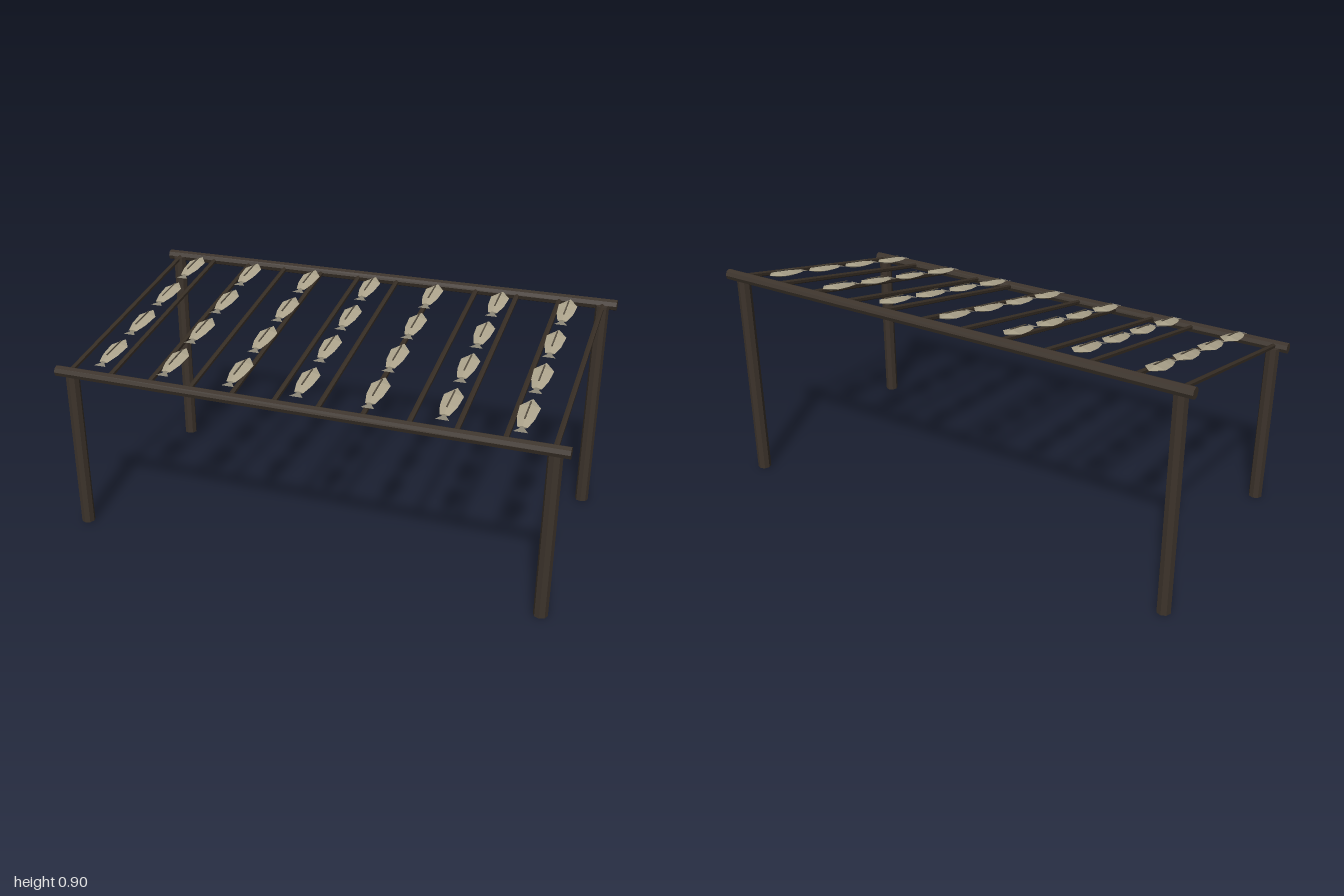
import * as THREE from 'three';

const mat = (name, color, extra = {}) => {
  const m = new THREE.MeshStandardMaterial({ color, flatShading: true, ...extra });
  m.name = name;
  return m;
};

// Fish body: diamond cross-sections [z, halfWidth, bottom, top] lofted to a point at the rear
function fishBody() {
  const sections = [[0.085, 0.018, -0.006, 0.005], [0.03, 0.032, -0.014, 0.01], [-0.04, 0.037, -0.012, 0.01]];
  const ring = ([z, w, b, t]) => [[w, 0, z], [0, t, z], [-w, 0, z], [0, b, z]];
  const rings = sections.map(ring);
  const tip = [0, 0, -0.09], pos = [];
  const tri = (a, b, c) => pos.push(...a, ...b, ...c);
  for (let i = 0; i < 4; i++) {
    const j = (i + 1) % 4;
    for (let k = 0; k < 2; k++) {
      const [p, q] = [rings[k], rings[k + 1]];
      tri(p[i], q[i], p[j]);
      tri(p[j], q[i], q[j]);
    }
    tri(rings[2][i], tip, rings[2][j]);
    tri([0, 0, 0.085], rings[0][i], rings[0][j]);
  }
  const g = new THREE.BufferGeometry();
  g.setAttribute('position', new THREE.Float32BufferAttribute(pos, 3));
  g.computeVertexNormals();
  return g;
}

export function createModel() {
  const model = new THREE.Group();
  const wood = mat('dark wood', 0x3c332b);
  const poleWood = mat('pole wood', 0x372e25);
  const flesh = mat('dried fish', 0xada48c, { side: THREE.DoubleSide });
  const fin = mat('fish tail', 0x8a8475, { side: THREE.DoubleSide });
  const split = mat('split line', 0x554d40);

  const add = (parent, name, geometry, material, x = 0, y = 0, z = 0) => {
    const m = new THREE.Mesh(geometry, material);
    m.name = name;
    m.position.set(x, y, z);
    parent.add(m);
    return m;
  };

  const railZ = 0.472, frontY = 0.671, backY = 0.878;
  const slope = (backY - frontY) / (2 * railZ);
  const poleY = z => frontY + slope * (railZ - z);

  // Posts and the two long rails
  for (const [side, z, y] of [['front', 1, frontY], ['back', -1, backY]]) {
    for (const x of [-0.945, 0.945]) {
      add(model, side + 'Post', new THREE.CylinderGeometry(0.027, 0.027, y, 8), wood, x, y / 2, z * 0.4525);
    }
    const rail = add(model, side + 'Rail', new THREE.CylinderGeometry(0.022, 0.022, 2, 8), wood, 0, y, z * railZ);
    rail.rotation.z = Math.PI / 2;
  }

  // Sloping poles between the rails
  const poleGeo = new THREE.CylinderGeometry(0.0105, 0.0105, Math.hypot(2 * railZ, backY - frontY), 6);
  for (let i = 0; i < 12; i++) {
    const pole = add(model, 'crossPole', poleGeo, poleWood, -0.945 + i * 1.89 / 11, (frontY + backY) / 2, 0);
    pole.rotation.x = Math.atan(slope) - Math.PI / 2;
  }

  // Drying fish in seven columns of four
  const bodyGeo = fishBody();
  const splitGeo = new THREE.BoxGeometry(0.005, 0.003, 0.108);
  const tailGeo = new THREE.BufferGeometry();
  tailGeo.setAttribute('position', new THREE.Float32BufferAttribute(
    [0, 0, 0.08, -0.026, 0, 0.114, 0.026, 0, 0.114], 3));
  tailGeo.computeVertexNormals();
  for (let c = 0; c < 7; c++) {
    for (let r = 0; r < 4; r++) {
      const fish = new THREE.Group();
      fish.name = 'fish';
      const z = -0.344 + r * 0.2265;
      fish.position.set(-0.82 + c * 0.2735, poleY(z) + 0.027, z);
      fish.rotation.x = Math.atan(0.19);
      add(fish, 'fishBody', bodyGeo, flesh);
      add(fish, 'fishTail', tailGeo, fin);
      add(fish, 'splitLine', splitGeo, split, 0, 0.014, 0);
      model.add(fish);
    }
  }
  return model;
}
